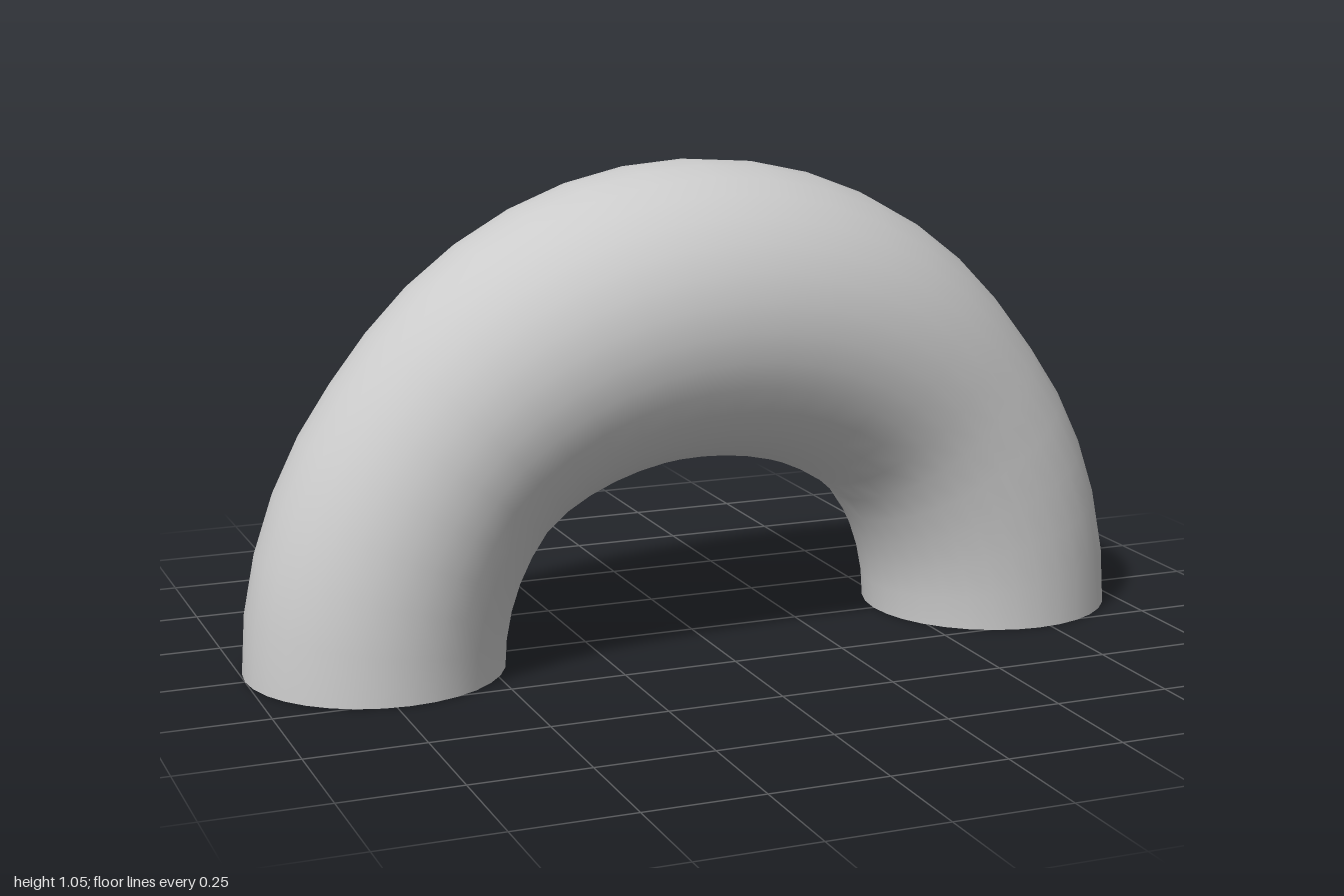
import * as THREE from 'three';
import { mergeVertices } from 'three/addons/utils/BufferGeometryUtils.js';

const BEND = 0.723;   // radius of the centre line
const OUTER = 0.277;  // pipe radius at the open ends
const BORE = 0.222;
const SIDES = 32, STEPS = 24;

// Swelling of the pipe around the crown of the bend
function swell(angle) {
  const start = THREE.MathUtils.degToRad(40);
  const t = (angle - start) / (Math.PI - 2 * start);
  return t > 0 && t < 1 ? 1 + 0.163 * Math.sin(Math.PI * t) : 1;
}

// Half torus whose cross-sections are scaled along the bend
function bentPipe(radius, inward) {
  let geo = new THREE.TorusGeometry(BEND, radius, SIDES, STEPS, Math.PI);
  const pos = geo.attributes.position;
  const p = new THREE.Vector3(), c = new THREE.Vector3();
  for (let i = 0; i < pos.count; i++) {
    p.fromBufferAttribute(pos, i);
    const angle = Math.atan2(p.y, p.x);
    c.set(Math.cos(angle) * BEND, Math.sin(angle) * BEND, 0);
    p.sub(c).multiplyScalar(swell(angle)).add(c);
    pos.setXYZ(i, p.x, p.y, p.z);
  }
  geo.deleteAttribute('uv');
  geo.deleteAttribute('normal');
  geo = mergeVertices(geo, 1e-5);
  if (inward) geo.setIndex(Array.from(geo.index.array).reverse());
  geo.computeVertexNormals();
  return geo;
}

export function createModel() {
  const group = new THREE.Group();
  group.name = 'pipeBend';
  const material = new THREE.MeshStandardMaterial({ color: 0xcccccc });
  const add = (name, geometry) => {
    const mesh = new THREE.Mesh(geometry, material);
    mesh.name = name;
    group.add(mesh);
    return mesh;
  };

  // Outer wall and hollow bore
  add('outerWall', bentPipe(OUTER, false));
  add('innerBore', bentPipe(BORE, true));

  // Flat rims closing the wall at both ends, facing down
  for (const [name, side] of [['leftRim', 1], ['rightRim', -1]]) {
    const rim = new THREE.RingGeometry(BORE, OUTER, SIDES).rotateX(Math.PI / 2);
    add(name, rim).position.x = side * BEND;
  }
  return group;
}
